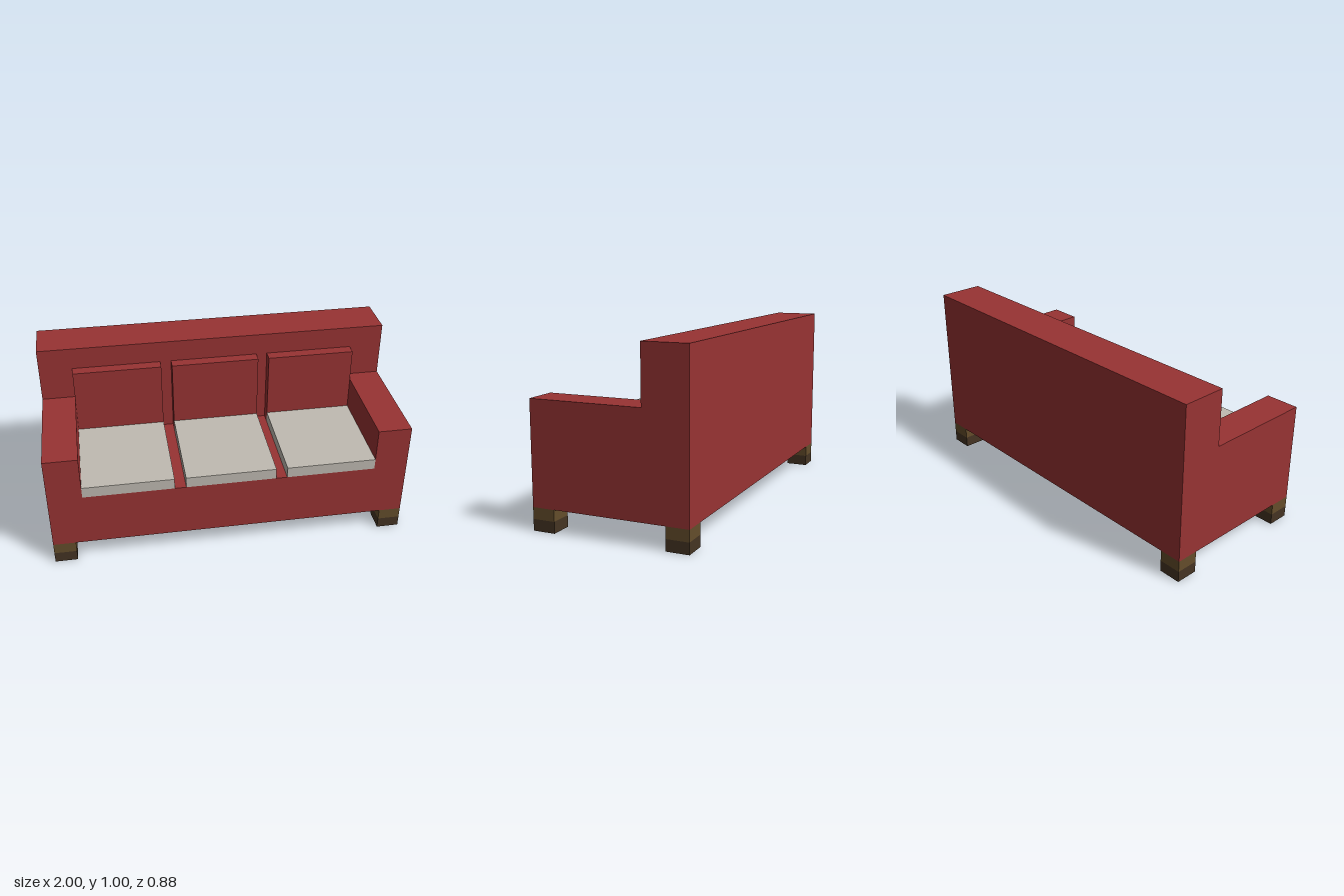
import * as THREE from 'three';

export function createModel() {
  const sofa = new THREE.Group();
  sofa.name = 'sofa';

  const material = (name, color) => {
    const m = new THREE.MeshStandardMaterial({ color });
    m.name = name;
    return m;
  };
  const red = material('red upholstery', 0x983333);
  const cream = material('cream cushion', 0xc0bbb2);
  const wood = material('brown wood', 0x644d2b);
  const darkWood = material('dark wood', 0x453423);

  // Box given by its lower and upper corners
  const box = (name, mat, [x0, y0, z0], [x1, y1, z1]) => {
    const geometry = new THREE.BoxGeometry(x1 - x0, y1 - y0, z1 - z0);
    const mesh = new THREE.Mesh(geometry, mat);
    mesh.position.set((x0 + x1) / 2, (y0 + y1) / 2, (z0 + z1) / 2);
    mesh.name = name;
    sofa.add(mesh);
  };

  const front = 0.4375, back = -0.4375, backFront = -0.1875;
  const floor = 0.125, seat = 0.4375, armIn = 0.8125;

  // Frame: backrest and seat base
  box('backrest', red, [-1, floor, back], [1, 1, backFront]);
  box('seatBase', red, [-armIn, floor, backFront], [armIn, seat, front]);

  // Arms and two-tone legs, mirrored left and right
  for (const [side, x0, x1, legX] of [['left', armIn, 1, 0.875], ['right', -1, -armIn, -1]]) {
    box(side + 'Arm', red, [x0, floor, backFront], [x1, 0.6875, front]);
    for (const [end, z] of [['Front', front - 0.125], ['Back', back]]) {
      box(side + end + 'Leg', wood, [legX, 0.0625, z], [legX + 0.125, floor, z + 0.125]);
      box(side + end + 'Foot', darkWood, [legX, 0, z], [legX + 0.125, 0.0625, z + 0.125]);
    }
  }

  // Three seat cushions with matching back cushions
  for (const [place, x] of [['right', -0.5625], ['middle', 0], ['left', 0.5625]]) {
    box(place + 'SeatCushion', cream, [x - 0.25, seat, -0.125], [x + 0.25, 0.5, front]);
    box(place + 'BackCushion', red, [x - 0.25, seat, backFront], [x + 0.25, 0.875, -0.125]);
  }

  return sofa;
}
